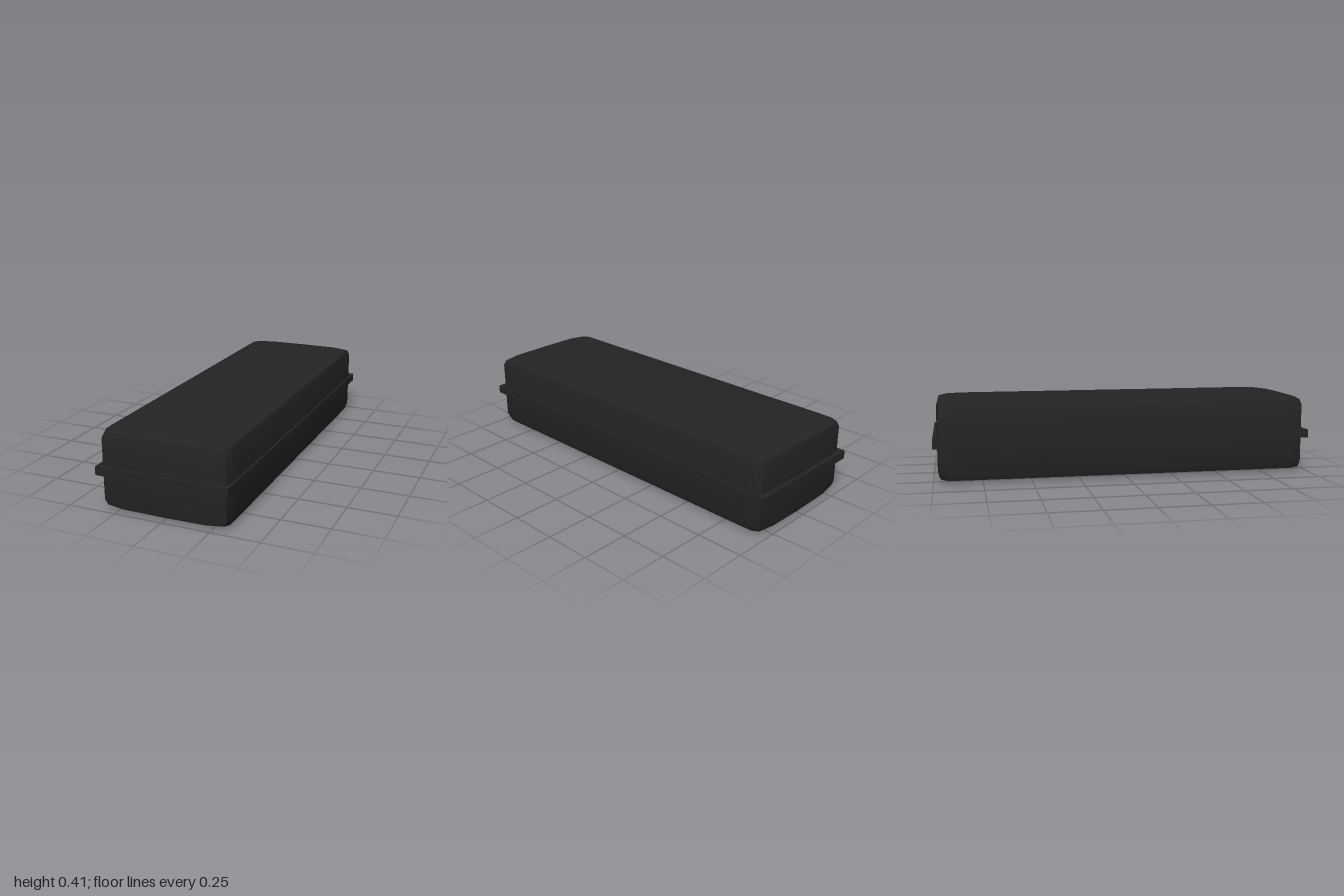
import * as THREE from 'three';
import { toCreasedNormals } from 'three/addons/utils/BufferGeometryUtils.js';

const MID = 0.208; // height of the seam

// Plan outline: one quarter, mirrored into a closed loop
const quarter = [[0.332, 0], [0.332, 0.86], [0.33, 0.93], [0.318, 0.968], [0.22, 0.978], [0, 0.982]];
function planLoop() {
  const half = [...quarter, ...quarter.slice(0, -1).reverse().map(([x, z]) => [-x, z])];
  return [...half, ...half.slice(1, -1).reverse().map(([x, z]) => [x, -z])];
}

// Half shell: rings from the seam up to the gently domed lid; sign -1 mirrors it downwards
function shellGeometry(sign) {
  const loop = planLoop();
  const n = loop.length;
  // [height above seam, x scale, z scale, corner drop]
  const rings = [
    [0, 1, 1, 0],
    [0.157, 1, 1, 0],
    [0.191, 0.964, 0.992, 0.006],
    [0.204, 0.67, 0.9, 0],
    [0.207, 0, 0, 0],
  ];
  const pos = [];
  const index = [];
  for (const [h, sx, sz, drop] of rings) {
    for (const [x, z] of loop) {
      const corner = Math.abs(Math.abs(x) - 0.318) < 0.001;
      pos.push(x * sx, sign * (h - (corner ? drop : 0)), z * sz);
    }
  }
  const tri = (a, b, c) => (sign > 0 ? index.push(a, b, c) : index.push(a, c, b));
  for (let i = 0; i < rings.length - 1; i++) {
    for (let j = 0; j < n; j++) {
      const k = (j + 1) % n;
      const a = i * n + j, b = i * n + k, c = a + n, d = b + n;
      tri(a, c, b);
      if (i < rings.length - 2) tri(b, c, d);
    }
  }
  const geo = new THREE.BufferGeometry();
  geo.setAttribute('position', new THREE.Float32BufferAttribute(pos, 3));
  geo.setIndex(index);
  return toCreasedNormals(geo, 0.45);
}

export function createModel() {
  const group = new THREE.Group();
  group.name = 'case';
  const black = new THREE.MeshStandardMaterial({ color: 0x242424 });
  black.name = 'matte black';

  const add = (name, geometry) => {
    const mesh = new THREE.Mesh(geometry, black);
    mesh.name = name;
    mesh.position.y = MID;
    group.add(mesh);
  };

  add('upperShell', shellGeometry(1));
  add('lowerShell', shellGeometry(-1));
  // Square-cornered flange around the seam
  add('rim', new THREE.BoxGeometry(0.686, 0.044, 2));
  return group;
}
